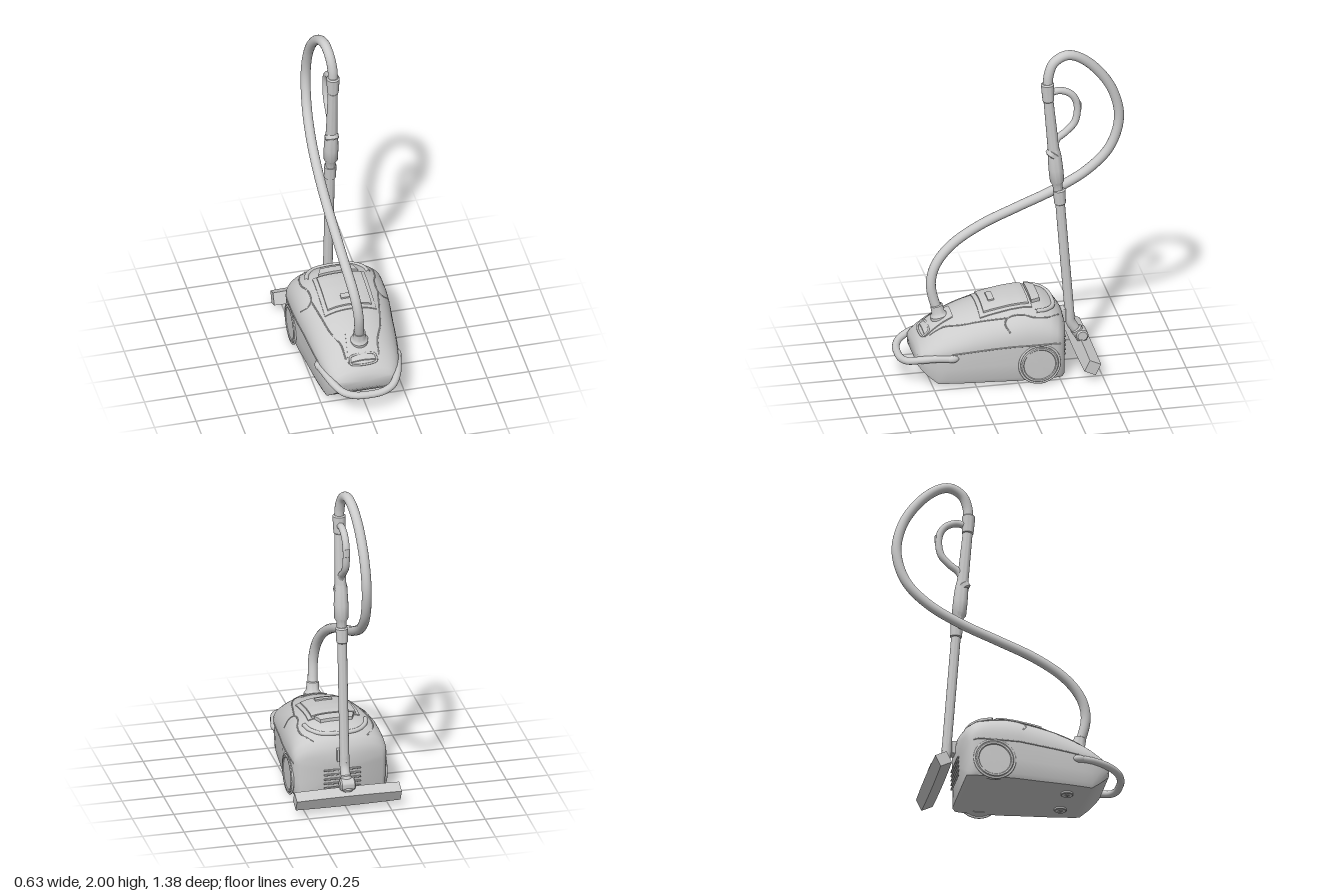
import * as THREE from 'three';
import { toCreasedNormals } from 'three/addons/utils/BufferGeometryUtils.js';
import { RoundedBoxGeometry } from 'three/addons/geometries/RoundedBoxGeometry.js';

const V = (x, y, z) => new THREE.Vector3(x, y, z);
const material = new THREE.MeshStandardMaterial({ color: 0xcccccc, side: THREE.DoubleSide });

// Body cross-sections: z, half width, bottom, shoulder height, top, roundness
const SECTIONS = [
  [-0.31, 0.25, 0.03, 0.22, 0.30, 3], [-0.297, 0.275, 0.02, 0.24, 0.35, 2.8],
  [-0.27, 0.283, 0.02, 0.25, 0.39, 2.7], [-0.22, 0.285, 0.02, 0.25, 0.428, 2.6],
  [-0.15, 0.285, 0.02, 0.25, 0.452, 2.5], [-0.05, 0.284, 0.02, 0.25, 0.46, 2.5],
  [0.03, 0.28, 0.02, 0.25, 0.455, 2.4], [0.15, 0.266, 0.02, 0.24, 0.44, 2.2],
  [0.25, 0.257, 0.02, 0.23, 0.418, 2.1], [0.34, 0.247, 0.02, 0.22, 0.39, 1.95],
  [0.42, 0.235, 0.02, 0.21, 0.358, 1.85], [0.47, 0.224, 0.02, 0.205, 0.328, 1.8],
  [0.52, 0.207, 0.06, 0.195, 0.288, 1.8], [0.56, 0.185, 0.10, 0.185, 0.248, 1.9],
  [0.58, 0.165, 0.125, 0.175, 0.22, 2],
];

function sectionAt(z) {
  let i = 0;
  while (i < SECTIONS.length - 2 && SECTIONS[i + 1][0] < z) i++;
  const a = SECTIONS[i], b = SECTIONS[i + 1];
  const t = THREE.MathUtils.clamp((z - a[0]) / (b[0] - a[0]), 0, 1);
  return a.map((v, k) => v + (b[k] - v) * t);
}

// Height of the hood above a point
function surfaceY(x, z) {
  const [, w, , shoulder, top, p] = sectionAt(z);
  return shoulder + (top - shoulder) * Math.pow(Math.max(0, 1 - Math.pow(Math.abs(x) / w, p)), 1 / p);
}

// The rear curves forward at its sides
const rearBend = (x, z) => 0.045 * (x / 0.28) ** 2 * (1 - THREE.MathUtils.smoothstep(z, -0.3, -0.05));

function bodyGeometry() {
  const pos = [], idx = [], arc = 32;
  for (const [z, w, bot, sh, top, p] of SECTIONS) {
    const ring = [];
    for (let j = 0; j <= arc; j++) {
      const a = Math.PI * j / arc, c = Math.cos(a), s = Math.max(0, Math.sin(a));
      ring.push([w * Math.sign(c) * Math.abs(c) ** (2 / p), sh + (top - sh) * s ** (2 / p)]);
    }
    const low = [[0.99, (bot + sh) / 2], [0.97, bot + 0.025], [0.93, bot]];
    low.forEach(([f, y]) => ring.push([-w * f, y]));
    low.reverse().forEach(([f, y]) => ring.push([w * f, y]));
    ring.forEach(([x, y]) => pos.push(x, y, z + rearBend(x, z)));
  }
  const n = arc + 7, rows = SECTIONS.length;
  for (let i = 0; i < rows - 1; i++) for (let j = 0; j < n; j++) {
    const a = i * n + j, b = i * n + (j + 1) % n;
    idx.push(a, b, a + n, b, b + n, a + n);
  }
  // End caps
  pos.push(0, 0.2, SECTIONS[0][0], 0, 0.175, 0.585);
  for (let j = 0; j < n; j++) {
    const k = (j + 1) % n, last = (rows - 1) * n;
    idx.push(rows * n, k, j, rows * n + 1, last + j, last + k);
  }
  const g = new THREE.BufferGeometry();
  g.setAttribute('position', new THREE.Float32BufferAttribute(pos, 3));
  g.setIndex(idx);
  return toCreasedNormals(g, 0.7);
}

// Thin plate that follows the hood; frontScale widens or narrows its front edge
function plateGeometry(x, z, w, d, h, frontScale = 1) {
  const g = new THREE.BoxGeometry(w, h + 0.015, d, 16, 1, 16), p = g.attributes.position;
  for (let i = 0; i < p.count; i++) {
    const px = x + p.getX(i) * THREE.MathUtils.lerp(1, frontScale, p.getZ(i) / d + 0.5), pz = z + p.getZ(i);
    p.setXYZ(i, px, surfaceY(px, pz) + p.getY(i) + (h - 0.015) / 2, pz);
  }
  g.computeVertexNormals();
  return g;
}

const tube = (pts, r, n = 64, closed = false) =>
  new THREE.TubeGeometry(new THREE.CatmullRomCurve3(pts, closed), n, r, 16, closed);

export function createModel() {
  const model = new THREE.Group();
  const add = (name, geo, parent = model) => {
    const m = new THREE.Mesh(geo, material);
    m.name = name;
    parent.add(m);
    return m;
  };
  // Lathe whose profile [radius, distance] runs from point a towards b
  const turned = (name, a, b, profile) => {
    const g = new THREE.LatheGeometry(profile.map(([r, t]) => new THREE.Vector2(r, t)), 28);
    const m = add(name, toCreasedNormals(g, 0.6));
    m.position.copy(a);
    m.quaternion.setFromUnitVectors(V(0, 1, 0), b.clone().sub(a).normalize());
    return m;
  };
  const rod = (name, a, b, r0, r1 = r0, e = 0.008) => {
    const l = a.distanceTo(b);
    return turned(name, a, b, [[0, 0], [r0 - e, 0], [r0, e], [r1, l - e], [r1 - e, l], [0, l]]);
  };
  const seam = (name, pts, r) => add(name, tube(pts.map(([x, z]) => V(x, surfaceY(x, z), z + rearBend(x, z))), r, 48));

  add('body', bodyGeometry());

  // Dust lid, latch and rear cover
  add('lidSurround', plateGeometry(0, 0.055, 0.31, 0.31, 0.006));
  add('lid', plateGeometry(0, 0.05, 0.265, 0.27, 0.016));
  add('lidLatch', plateGeometry(0.01, 0.125, 0.1, 0.035, 0.025));
  add('rearCover', plateGeometry(0, -0.13, 0.19, 0.055, 0.02, 1.25));
  seam('rearTrim', [[-0.185, -0.12], [-0.165, -0.19], [-0.11, -0.235], [0, -0.245], [0.11, -0.235], [0.165, -0.19], [0.185, -0.12]], 0.013);

  // Front hose panel with framed window
  add('hosePanel', plateGeometry(0, 0.44, 0.14, 0.17, 0.007, 1.3));
  const frame = [[-0.07, 0.5], [0.07, 0.5], [0.078, 0.515], [0.075, 0.535], [-0.075, 0.535], [-0.078, 0.515]];
  add('windowFrame', tube(frame.map(([x, z]) => V(x, surfaceY(x, z) + 0.008, z)), 0.006, 64, true));

  // Side seams, wheels and casters
  for (const s of [-1, 1]) {
    const line = [];
    for (let z = -0.29; z < 0.4; z += 0.04) {
      const [, w, , sh] = sectionAt(z);
      line.push(V(s * w, sh, z + rearBend(w, z)));
    }
    add('waistSeam', tube(line, 0.004));
    seam('hoodSeam', [[0.16, -0.27], [0.215, -0.2], [0.22, -0.1], [0.2, -0.03], [0.2, 0.05], [0.225, 0.075], [0.262, 0.05]].map(([x, z]) => [s * x, z]), 0.004);
    seam('hoodEdge', [[0.2, 0.06], [0.175, 0.2], [0.15, 0.32], [0.11, 0.42], [0.1, 0.5]].map(([x, z]) => [s * x, z]), 0.004);
    turned('wheel', V(s * 0.23, 0.123, -0.12), V(s, 0.123, -0.12),
      [[0, 0], [0.11, 0], [0.115, 0.01], [0.115, 0.052], [0.108, 0.06], [0.098, 0.06], [0.094, 0.055], [0, 0.058]]);
    const arch = add('wheelArch', new THREE.TorusGeometry(0.12, 0.007, 10, 48));
    arch.position.set(s * 0.281, 0.125, -0.12);
    arch.rotation.y = Math.PI / 2;
    rod('casterMount', V(s * 0.11, 0.006, 0.34), V(s * 0.11, 0.03, 0.34), 0.036, 0.036, 0.004);
    const caster = rod('caster', V(s * 0.11 - 0.012, 0.016, 0.34), V(s * 0.11 + 0.012, 0.016, 0.34), 0.016, 0.016, 0.003);
    caster.name = 'caster';
    // Ends of the carrying handle blending into the sides
    const end = add('handleEnd', new THREE.SphereGeometry(0.024, 20, 14));
    end.position.set(s * 0.236, 0.188, 0.39);
    end.scale.z = 1.6;
  }

  // Carrying handle loop at the nose
  const half = [[0.236, 0.188, 0.39], [0.218, 0.188, 0.48], [0.19, 0.175, 0.57], [0.145, 0.155, 0.635], [0.08, 0.143, 0.664]];
  add('carryingHandle', tube([...half.map(p => V(...p)), V(0, 0.14, 0.67),
    ...half.slice().reverse().map(([x, y, z]) => V(-x, y, z))], 0.022, 80));

  // Rear parking bracket and vents
  const bracket = add('parkingBracket', new RoundedBoxGeometry(0.07, 0.08, 0.035, 2, 0.006));
  bracket.position.set(0, 0.3, -0.312);
  for (let i = 0; i < 5; i++) {
    const vent = add('ventRib', new RoundedBoxGeometry(0.22, 0.01, 0.012, 2, 0.003));
    vent.position.set(0, 0.09 + i * 0.028, -0.306);
  }

  // Hose from the nose, looping up to the grip
  turned('hoseCollar', V(0, 0.345, 0.42), V(-0.005, 0.44, 0.44),
    [[0, 0], [0.052, 0], [0.052, 0.02], [0.045, 0.028], [0.038, 0.04], [0.036, 0.085], [0.028, 0.09]]);
  add('hose', tube([
    [0, 0.37, 0.42], [-0.008, 0.46, 0.452], [-0.015, 0.56, 0.468], [-0.025, 0.65, 0.45], [-0.037, 0.73, 0.40],
    [-0.052, 0.81, 0.31], [-0.065, 0.9, 0.15], [-0.073, 0.985, -0.06], [-0.075, 1.075, -0.28], [-0.072, 1.19, -0.48],
    [-0.065, 1.33, -0.61], [-0.058, 1.52, -0.663], [-0.052, 1.71, -0.62], [-0.043, 1.87, -0.51], [-0.03, 1.955, -0.4],
    [-0.02, 1.968, -0.33], [-0.01, 1.93, -0.262], [-0.002, 1.86, -0.232], [0, 1.77, -0.226]].map(p => V(...p)), 0.029, 220));

  // Grip: cuff, neck, loop, twisted band and lower sleeve
  rod('gripCuff', V(0, 1.69, -0.23), V(0, 1.81, -0.224), 0.034, 0.039);
  rod('gripNeck', V(0, 1.36, -0.262), V(0, 1.7, -0.23), 0.034, 0.029);
  add('gripLoop', tube([[0, 1.745, -0.235], [0, 1.755, -0.3], [0, 1.73, -0.36], [0, 1.68, -0.395], [0, 1.61, -0.402],
    [0, 1.54, -0.385], [0, 1.485, -0.335], [0, 1.445, -0.285], [0, 1.40, -0.262]].map(p => V(...p)), 0.021));
  const trigger = add('gripButton', new RoundedBoxGeometry(0.024, 0.05, 0.025, 2, 0.006));
  trigger.position.set(0, 1.645, -0.413);
  const band = rod('twistBand', V(0, 1.33, -0.245), V(0, 1.38, -0.28), 0.043, 0.043, 0.012);
  band.scale.set(0.95, 0.7, 1);
  turned('gripSleeve', V(0, 1.1, -0.288), V(0, 1.38, -0.262),
    [[0.028, 0], [0.03, 0.05], [0.042, 0.07], [0.043, 0.15], [0.04, 0.23], [0.034, 0.28]]);

  // Wand, coupling and floor head
  rod('wandCoupling', V(0, 1.015, -0.3), V(0, 1.115, -0.293), 0.034, 0.037);
  rod('wand', V(0, 0.27, -0.358), V(0, 1.03, -0.299), 0.028);
  add('wandElbow', tube([V(0, 0.32, -0.354), V(0, 0.25, -0.36), V(0, 0.21, -0.38), V(0, 0.165, -0.412)], 0.029, 24));
  rod('headNeck', V(0, 0.115, -0.44), V(0, 0.2, -0.39), 0.033, 0.036);
  const hinge = rod('headHinge', V(-0.045, 0.16, -0.425), V(0.045, 0.16, -0.425), 0.036);
  hinge.scale.set(1, 1, 1);
  const headGeo = new THREE.BoxGeometry(0.63, 0.085, 0.074, 24, 1, 1), hp = headGeo.attributes.position;
  for (let i = 0; i < hp.count; i++) {
    const t = Math.abs(hp.getX(i)) / 0.315;
    hp.setY(i, hp.getY(i) * (1 - 0.12 * t * t));
  }
  headGeo.computeVertexNormals();
  const head = add('floorHead', headGeo);
  head.position.set(0, 0.086, -0.43);
  head.rotation.x = -0.44;
  return model;
}
